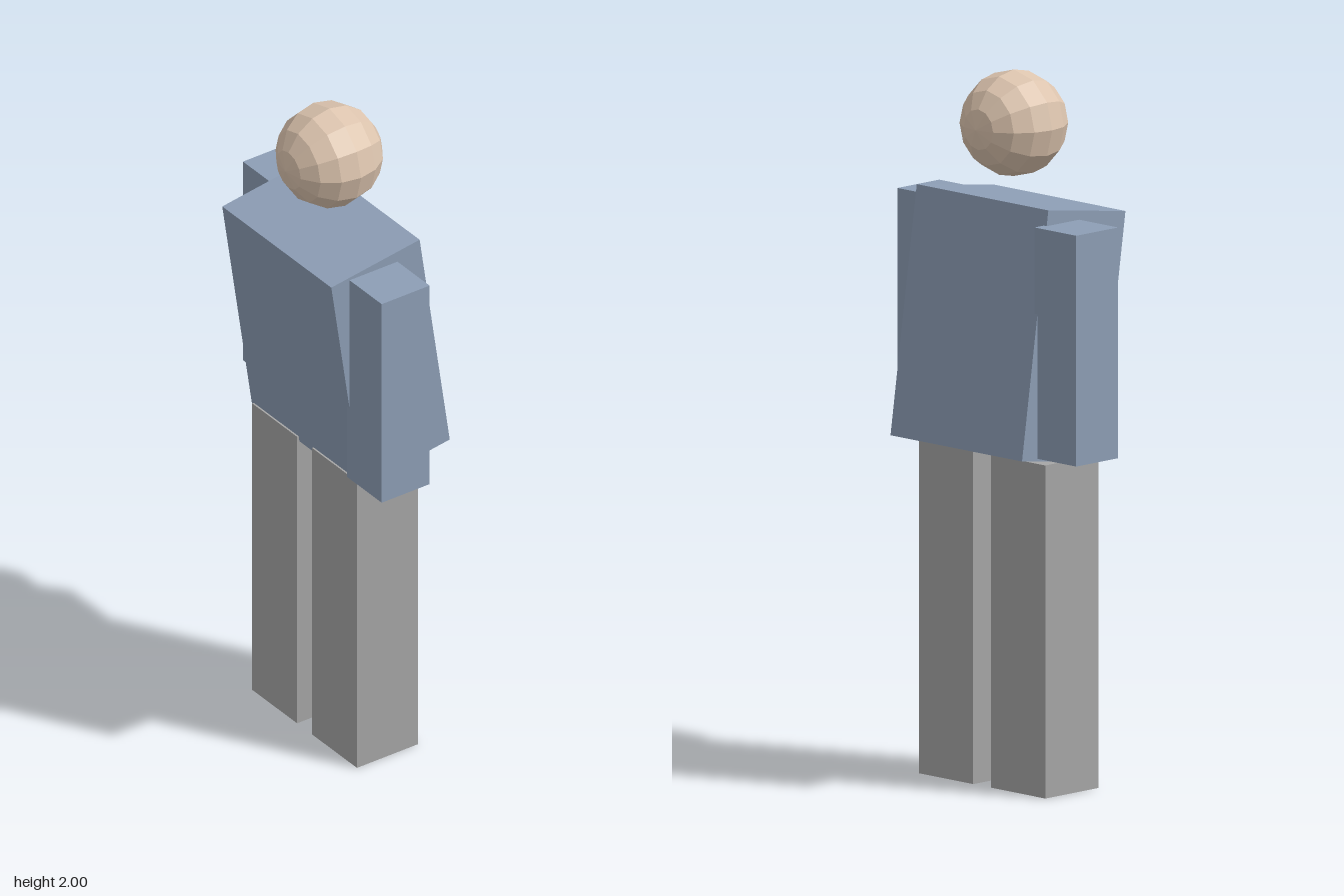
import * as THREE from 'three';

export function createModel() {
  const model = new THREE.Group();
  model.name = 'blockFigure';

  const material = (name, color) => {
    const m = new THREE.MeshStandardMaterial({ color, flatShading: true });
    m.name = name;
    return m;
  };
  const shirtBlue = material('shirtBlue', 0x8d9eb5);
  const trouserGrey = material('trouserGrey', 0xa6a6a6);
  const skin = material('skin', 0xdcc4ae);

  const add = (name, geometry, mat, x, y, z) => {
    const mesh = new THREE.Mesh(geometry, mat);
    mesh.name = name;
    mesh.position.set(x, y, z);
    model.add(mesh);
    return mesh;
  };

  // Torso, leaning forward
  const torso = add('torso', new THREE.BoxGeometry(0.514, 0.7, 0.304), shirtBlue, 0, 1.289, 0);
  torso.rotation.x = 0.147;

  // Arms (left swung forward, right swung back) and legs
  for (const [side, s] of [['left', 1], ['right', -1]]) {
    add(side + 'Arm', new THREE.BoxGeometry(0.163, 0.65, 0.163), shirtBlue, s * 0.327, 1.289, s > 0 ? 0.058 : -0.06);
    add(side + 'Leg', new THREE.BoxGeometry(0.212, 0.938, 0.208), trouserGrey, s * 0.141, 0.469, 0.003);
  }

  // Faceted head, poles along z
  const head = new THREE.SphereGeometry(0.15, 12, 8);
  head.rotateX(Math.PI / 2);
  add('head', head, skin, 0, 1.85, 0.023);

  return model;
}
